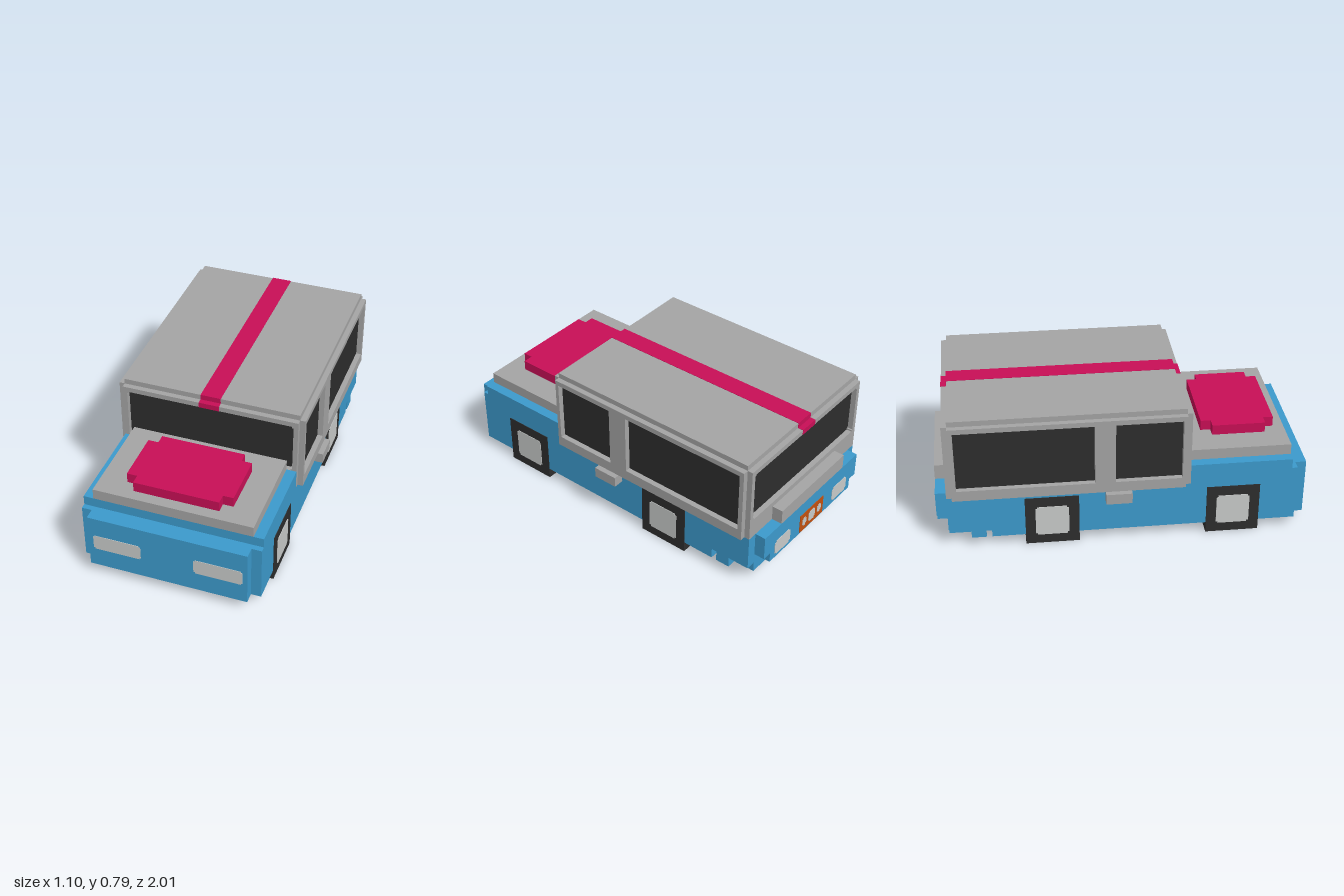
import * as THREE from 'three';

const mat = (name, color) => {
  const m = new THREE.MeshStandardMaterial({ color });
  m.name = name;
  return m;
};

export function createModel() {
  const car = new THREE.Group();
  car.name = 'blockCar';
  const blue = mat('bodyBlue', 0x3c9acc);
  const grey = mat('trimGrey', 0xa4a4a4);
  const pink = mat('stripePink', 0xc80f56);
  const dark = mat('glassAndTyreDark', 0x2d2d2d);
  const light = mat('lampLight', 0xc8cac9);
  const orange = mat('plateOrange', 0xc2500f);

  const add = (name, geo, material) => {
    const mesh = new THREE.Mesh(geo, material);
    mesh.name = name;
    car.add(mesh);
    return mesh;
  };
  // Box given by its limits on each axis
  const box = (name, material, x0, x1, y0, y1, z0, z1) => {
    const geo = new THREE.BoxGeometry(x1 - x0, y1 - y0, z1 - z0);
    geo.translate((x0 + x1) / 2, (y0 + y1) / 2, (z0 + z1) / 2);
    return add(name, geo, material);
  };
  const poly = (pts) => new THREE.Shape(pts.map(([x, y]) => new THREE.Vector2(x, y)));
  const rect = (a, b, c, d) => poly([[a, c], [b, c], [b, d], [a, d]]);
  // Rectangle with square-cut corners
  const notched = (a, b, c, d, n, m = n) => poly([
    [a + n, c], [b - n, c], [b - n, c + m], [b, c + m], [b, d - m], [b - n, d - m],
    [b - n, d], [a + n, d], [a + n, d - m], [a, d - m], [a, c + m], [a + n, c + m],
  ]);
  const extrude = (shape, depth) =>
    new THREE.ExtrudeGeometry(shape, { depth, bevelEnabled: false });
  // Shape in the x-y plane, from z0 to z1
  const alongZ = (name, material, shape, z0, z1) =>
    add(name, extrude(shape, z1 - z0).translate(0, 0, z0), material);
  // Shape in the z-y plane, from x0 to x1
  const alongX = (name, material, shape, x0, x1) =>
    add(name, extrude(shape, x1 - x0).rotateY(-Math.PI / 2).translate(x1, 0, 0), material);
  // Same part on both sides
  const sides = (fn, x0, x1) => {
    fn(x0, x1);
    fn(-x1, -x0);
  };

  // Body: core, plus outer flanks with notches along the sill
  const upper = [[0.94, 0.06], [0.94, 0.38], [0.91, 0.38], [0.91, 0.435],
    [0.36, 0.435], [0.36, 0.32], [-0.94, 0.32]];
  alongX('bodyCore', blue, poly([...upper, [-0.94, 0.06]]), -0.435, 0.435);
  const flank = poly([...upper, [-0.94, 0.12], [-0.82, 0.12], [-0.82, 0.06],
    [-0.74, 0.06], [-0.74, 0.12], [-0.71, 0.12], [-0.71, 0.06]]);
  sides((a, b) => alongX('bodyFlank', blue, flank, a, b), 0.435, 0.49);
  box('frontPanel', blue, -0.435, 0.435, 0.06, 0.38, 0.94, 1);
  box('rearBumper', blue, -0.435, 0.435, 0.18, 0.32, -1, -0.94);
  box('rearBumperLower', blue, -0.38, 0.38, 0.12, 0.18, -1, -0.94);
  box('rearLedge', grey, -0.29, 0.29, 0.32, 0.405, -1, -0.94);

  // Bonnet and raised scoop
  box('bonnet', grey, -0.435, 0.435, 0.435, 0.495, 0.36, 0.91);
  const scoop = extrude(notched(-0.29, 0.29, -0.85, -0.45, 0.057, 0.055), 0.057);
  add('bonnetScoop', scoop.rotateX(-Math.PI / 2).translate(0, 0.495, 0), pink);

  // Cabin: dark glass block wrapped in frames
  box('glass', dark, -0.49, 0.49, 0.32, 0.755, -0.91, 0.33);
  box('roof', grey, -0.49, 0.49, 0.755, 0.785, -0.91, 0.33);
  const endFrame = rect(-0.49, 0.49, 0.32, 0.755);
  endFrame.holes.push(notched(-0.465, 0.465, 0.435, 0.727, 0.009));
  alongZ('windscreenFrame', grey, endFrame, 0.33, 0.36);
  alongZ('rearWindowFrame', grey, endFrame, -0.94, -0.91);
  const sideFrame = rect(-0.91, 0.33, 0.32, 0.755);
  sideFrame.holes.push(rect(-0.045, 0.31, 0.38, 0.727), rect(-0.885, -0.155, 0.38, 0.727));
  sides((a, b) => alongX('sideFrame', grey, sideFrame, a, b), 0.49, 0.52);
  sides((a, b) => box('sideStep', grey, a, b, 0.26, 0.32, -0.1, 0.04), 0.49, 0.55);

  // Stripe over the roof, stepping down at both ends
  box('roofStripe', pink, -0.056, 0.056, 0.783, 0.787, -0.912, 0.332);
  for (const [z0, z1] of [[0.33, 0.36], [-0.94, -0.91]]) {
    const [outer, inner] = z0 > 0 ? [z1, z0] : [z0, z1];
    const out = Math.sign(z0) * 0.002;
    const lo = (z) => Math.min(z, z + out), hi = (z) => Math.max(z, z + out);
    box('stripeRiser', pink, -0.056, 0.056, 0.755, 0.787, lo(inner), hi(inner));
    box('stripeTread', pink, -0.056, 0.056, 0.755, 0.757, z0, z1);
    box('stripeEnd', pink, -0.056, 0.056, 0.727, 0.757, lo(outer), hi(outer));
  }

  // Lamps and rear plate
  sides((a, b) => alongZ('headlamp', light, notched(a, b, 0.175, 0.265, 0.008), 0.998, 1.002), 0.145, 0.408);
  sides((a, b) => alongZ('tailLamp', light, notched(a, b, 0.14, 0.23, 0.012), -1.003, -0.998), 0.2, 0.34);
  box('rearPlate', orange, -0.11, 0.11, 0.128, 0.243, -1.003, -0.998);
  for (const [x, w, h] of [[-0.07, 0.018, 0.026], [0, 0.03, 0.034], [0.07, 0.018, 0.026]]) {
    alongZ('plateDot', light, notched(x - w, x + w, 0.186 - h, 0.186 + h, 0.009), -1.005, -1.002);
  }

  // Wheels, hubs and axles
  for (const z of [0.595, -0.385]) {
    sides((a, b) => box('wheel', dark, a, b, 0, 0.29, z - 0.145, z + 0.145), 0.29, 0.493);
    const hub = notched(z - 0.09, z + 0.09, 0.055, 0.232, 0.01);
    sides((a, b) => alongX('hub', light, hub, a, b), 0.49, 0.496);
    box('axleWell', dark, -0.29, 0.29, 0.057, 0.065, z - 0.12, z + 0.12);
    box('axle', light, -0.29, 0.29, 0.054, 0.06, z - 0.09, z + 0.09);
  }
  return car;
}
